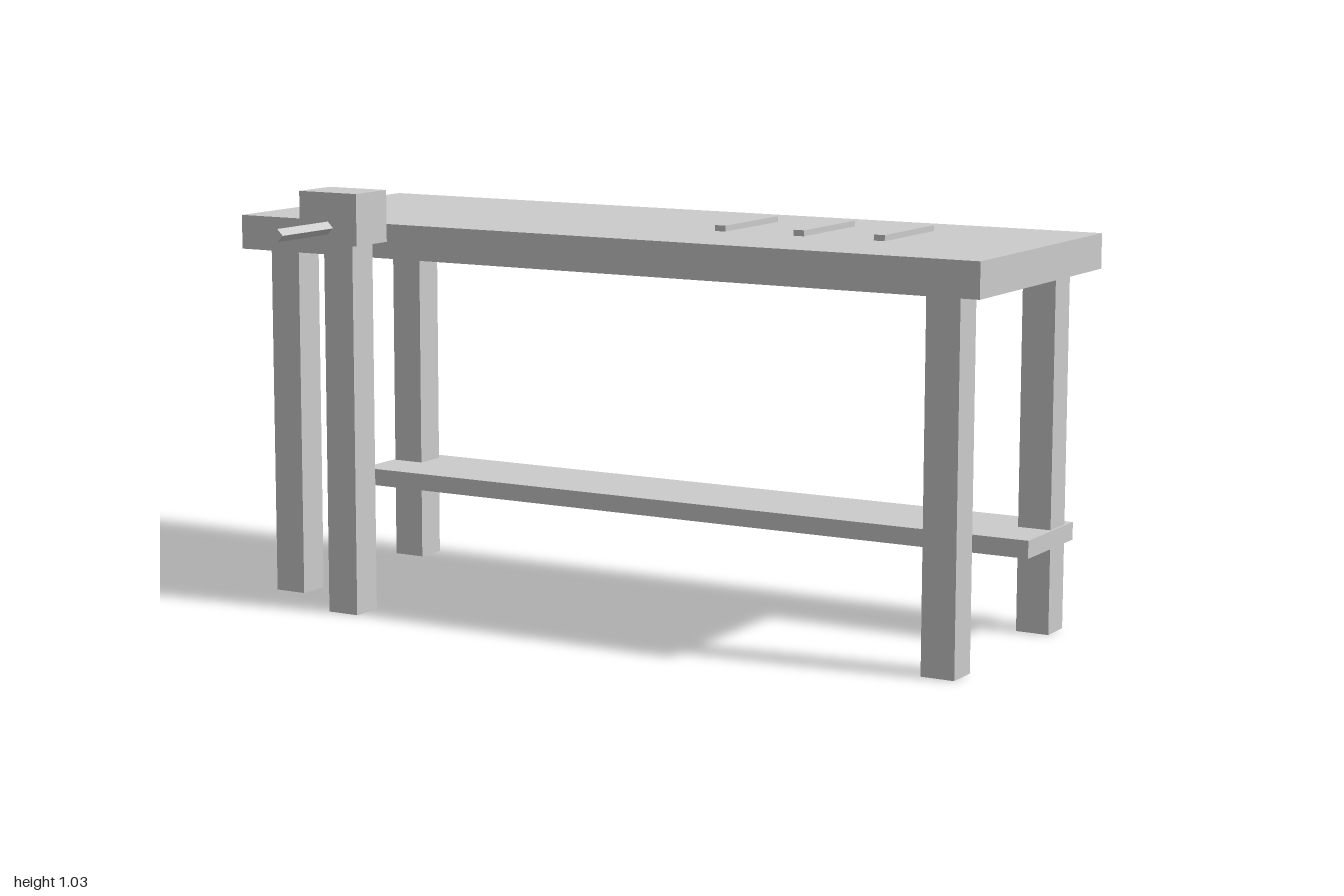
import * as THREE from 'three';

export function createModel() {
  const model = new THREE.Group();
  model.name = 'workbench';
  const grey = new THREE.MeshStandardMaterial({ color: 0xcccccc });
  grey.name = 'lightGrey';

  // Box given by its [min, max] extents on each axis
  const box = (name, [x0, x1], [y0, y1], [z0, z1]) => {
    const mesh = new THREE.Mesh(new THREE.BoxGeometry(x1 - x0, y1 - y0, z1 - z0), grey);
    mesh.position.set((x0 + x1) / 2, (y0 + y1) / 2, (z0 + z1) / 2);
    mesh.name = name;
    model.add(mesh);
  };
  const around = (c, size) => [c - size / 2, c + size / 2];

  box('benchTop', [-1, 1], [0.865, 0.949], [-0.513, 0.171]);
  box('lowerShelf', [-0.943, 0.943], [0.21, 0.253], [-0.513, -0.25]);

  // Four square legs
  const leg = 0.083;
  for (const x of [-0.896, 0.896]) {
    box('frontLeg', around(x, leg), [0, 0.865], around(0.093, leg));
    box('backLeg', around(x, leg), [0, 0.865], around(-0.433, leg));
  }

  // Three thin tools lying on the top
  for (const x of [0.21, 0.419, 0.627]) {
    box('tool', around(x, 0.028), [0.949, 0.963], [-0.354, -0.091]);
  }

  // Vise: post, jaw block and a four-sided handle pointing forward
  const viseX = -0.635;
  box('visePost', around(viseX, leg), [0, 0.908], around(0.231, leg));
  box('viseJaw', around(viseX, 0.166), [0.908, 1.033], [0.188, 0.313]);
  const handleGeometry = new THREE.CylinderGeometry(0.0155, 0.0155, 0.201, 4).toNonIndexed();
  handleGeometry.computeVertexNormals();
  const handle = new THREE.Mesh(handleGeometry, grey);
  handle.rotation.x = Math.PI / 2;
  handle.position.set(viseX, 0.948, 0.4125);
  handle.name = 'viseHandle';
  model.add(handle);

  return model;
}
